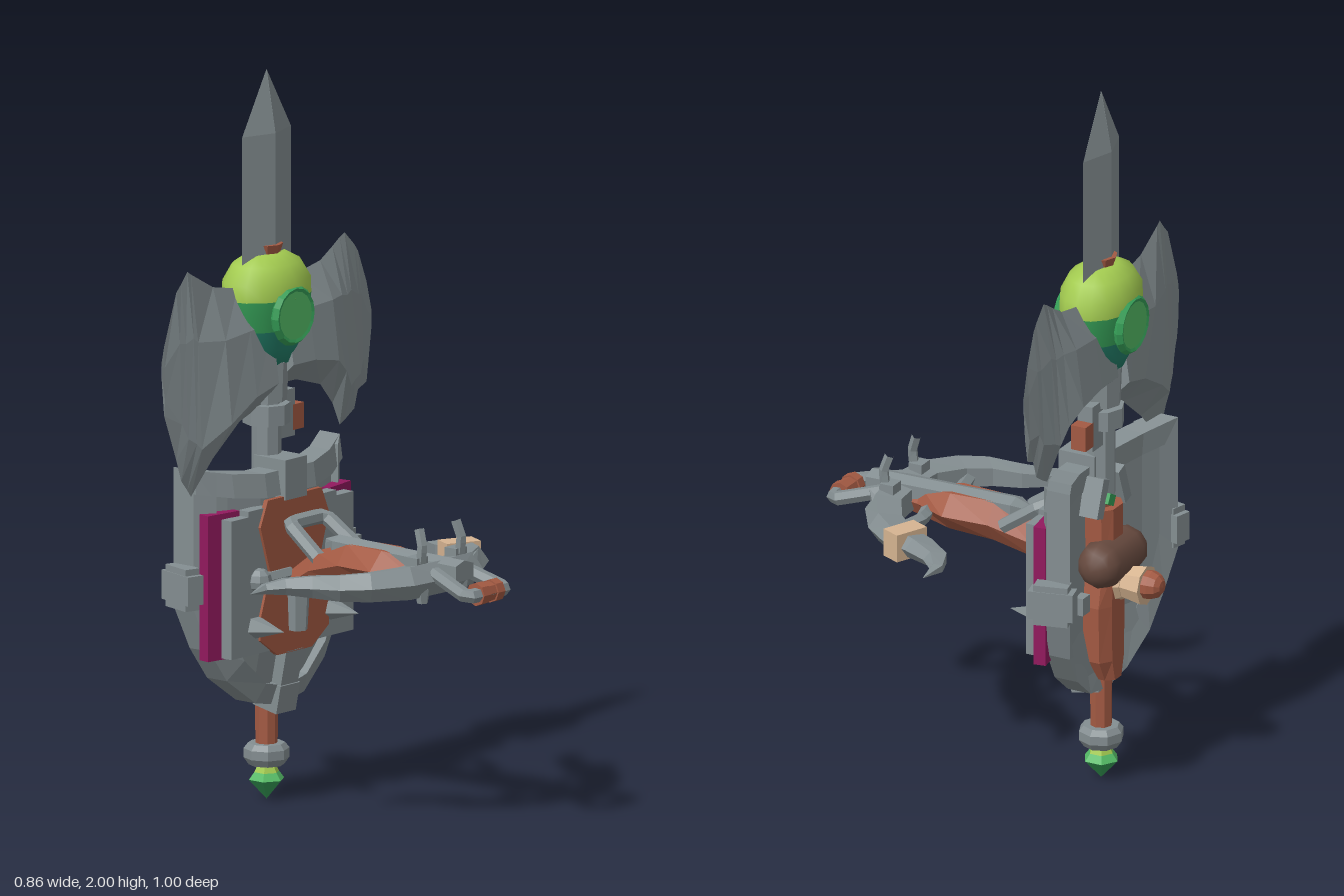
import * as THREE from 'three';

const mat = (name, color) => Object.assign(new THREE.MeshStandardMaterial({ color }), { name });
const M = {
  steel: mat('steel', 0x848e91), wood: mat('wood', 0xa35a43), lime: mat('lime', 0xa3cb50),
  green: mat('green', 0x36a058), teal: mat('teal', 0x23806a), glow: mat('bright green', 0x55bb66),
  cream: mat('cream', 0xd6b491), magenta: mat('magenta', 0x92195e), leather: mat('dark leather', 0x66493e),
};
const Z = -0.31; // depth of the axe shaft

// Faceted copy of a geometry
function flat(g) {
  const f = g.index ? g.toNonIndexed() : g;
  f.computeVertexNormals();
  return f;
}

// Closed solid through rings of equal length, turned outward by its signed volume
function loft(rings) {
  const n = rings[0].length, tris = [];
  for (let i = 0; i + 1 < rings.length; i++) {
    for (let j = 0; j < n; j++) {
      const k = (j + 1) % n, a = rings[i], b = rings[i + 1];
      tris.push([a[j], a[k], b[k]], [a[j], b[k], b[j]]);
    }
  }
  const end = rings[rings.length - 1];
  for (let j = 1; j + 1 < n; j++) {
    tris.push([rings[0][0], rings[0][j + 1], rings[0][j]], [end[0], end[j], end[j + 1]]);
  }
  let volume = 0;
  const v = (p) => new THREE.Vector3(...p);
  for (const [a, b, c] of tris) volume += v(a).dot(v(b).cross(v(c)));
  const pos = tris.flatMap(([a, b, c]) => (volume < 0 ? [a, c, b] : [a, b, c])).flat();
  const g = new THREE.BufferGeometry();
  g.setAttribute('position', new THREE.Float32BufferAttribute(pos, 3));
  return g;
}

export function createModel() {
  const root = new THREE.Group();
  root.name = 'weaponSet';
  let group;
  const section = (name) => { group = new THREE.Group(); group.name = name; root.add(group); };
  const add = (name, geo, m, x = 0, y = 0, z = 0, rx = 0, ry = 0, rz = 0, smooth = false) => {
    const mesh = new THREE.Mesh(smooth ? geo : flat(geo), m);
    mesh.name = name;
    mesh.position.set(x, y, z);
    mesh.rotation.set(rx, ry, rz);
    group.add(mesh);
  };
  const box = (w, h, d) => new THREE.BoxGeometry(w, h, d);
  const cyl = (a, b, h, n = 8) => new THREE.CylinderGeometry(a, b, h, n);
  const tube = (pts, r, n = 6, seg = 20) => new THREE.TubeGeometry(
    new THREE.CatmullRomCurve3(pts.map((p) => new THREE.Vector3(...p)), false, 'catmullrom', 0.15), seg, r, n);
  const plate = (pts, depth) => new THREE.ExtrudeGeometry(
    new THREE.Shape(pts.map((p) => new THREE.Vector2(...p))), { depth, bevelEnabled: false });
  const H = Math.PI / 2;

  // ---- Axe: spear tip, twin blades, orb head, shaft, pommel
  section('axe');
  const diamond = (w, d, y) => [[w, y, Z], [0, y, Z + d], [-w, y, Z], [0, y, Z - d]];
  add('spearBlade', loft([diamond(0.1, 0.032, 1.42), diamond(0.1, 0.032, 1.83), diamond(0.001, 0.001, 2)]), M.steel);

  // blade columns: x, top, bottom
  const blades = {
    leftAxeBlade: [1, [[0.03, 1.42, 1.13], [0.12, 1.42, 1.13], [0.22, 1.44, 1.1], [0.27, 1.47, 1.04], [0.3, 1.49, 0.975],
      [0.32, 1.5, 0.985], [0.36, 1.46, 1.01], [0.375, 1.44, 1.06], [0.41, 1.35, 1.075], [0.43, 1.27, 1.22]]],
    rightAxeBlade: [-1, [[0.03, 1.42, 1.08], [0.12, 1.42, 1.05], [0.22, 1.44, 0.97], [0.31, 1.49, 0.88],
      [0.325, 1.5, 0.9], [0.35, 1.47, 0.93], [0.37, 1.45, 0.99], [0.42, 1.31, 1.12], [0.43, 1.27, 1.22]]],
  };
  for (const [name, [s, columns]] of Object.entries(blades)) {
    add(name, loft(columns.map(([x, t, b]) => {
      const k = Math.min(1, (0.432 - x) / 0.22), hi = t - (t - b) * 0.3, lo = b + (t - b) * 0.22;
      return [[s * x, t, Z], [s * x, hi, Z + 0.047 * k], [s * x, lo, Z + 0.07 * k],
        [s * x, b, Z], [s * x, lo, Z - 0.07 * k], [s * x, hi, Z - 0.047 * k]];
    })), M.steel);
  }

  const orb = (name, pts, m) => {
    const g = new THREE.LatheGeometry(pts.map(([r, y]) => new THREE.Vector2(r, y)), 16);
    add(name, g.scale(1, 1, 0.74), m, 0, 0, Z, 0, 0, 0, true);
  };
  orb('orbBottom', [[0, 1.19], [0.075, 1.2], [0.103, 1.245], [0.122, 1.3]], M.teal);
  orb('orbMiddle', [[0.122, 1.3], [0.135, 1.35], [0.14, 1.385]], M.green);
  orb('orbTop', [[0.14, 1.385], [0.138, 1.43], [0.108, 1.475], [0.06, 1.5], [0, 1.503]], M.lime);
  for (const s of [1, -1]) {
    add('orbRing', new THREE.TorusGeometry(0.07, 0.014, 5, 16), M.green, 0, 1.34, Z + s * 0.093);
    add('orbLens', cyl(0.066, 0.066, 0.02, 16), M.glow, 0, 1.34, Z + s * 0.0935, H);
  }
  add('topPin', cyl(0.045, 0.035, 0.03, 8), M.wood, 0, 1.51, Z);
  add('headSocket', cyl(0.06, 0.055, 0.11), M.steel, 0, 1.15, Z);
  add('upperShaft', cyl(0.04, 0.04, 0.3), M.steel, 0, 0.98, Z);
  add('shaftCollar', cyl(0.064, 0.064, 0.055), M.steel, 0, 1.06, Z);
  add('sidePeg', box(0.045, 0.07, 0.045), M.wood, 0.105, 1.035, Z);
  add('pegArm', box(0.06, 0.13, 0.045), M.steel, 0.06, 1.05, Z);
  add('lowerShaft', cyl(0.035, 0.03, 0.7), M.wood, 0, 0.5, Z);
  add('pommelCap', cyl(0.05, 0.062, 0.015), M.steel, 0, 0.1475, Z);
  add('pommelRing', cyl(0.062, 0.062, 0.025), M.steel, 0, 0.1275, Z);
  add('pommelBase', cyl(0.062, 0.048, 0.02), M.steel, 0, 0.105, Z);
  add('gemTop', cyl(0.025, 0.035, 0.02, 6), M.lime, 0, 0.085, Z);
  add('gemMiddle', cyl(0.035, 0.05, 0.02, 6), M.glow, 0, 0.065, Z);
  add('gemBottom', cyl(0.05, 0, 0.055, 6), M.green, 0, 0.0275, Z);

  // ---- Shield: bowed plate with rim, bands and studs
  section('shield');
  const bow = (x, y = 1) => -0.235 - x * x - 0.2 * Math.max(0, 0.45 - y);
  const outline = [[0, 0.265], [0.1, 0.285], [0.2, 0.36], [0.26, 0.45], [0.3, 0.57]];
  const both = outline.slice(1).reverse().map(([x, y]) => [-x, y]).concat(outline);
  add('shieldPlate', loft(both.map(([x, y]) => {
    const top = 0.89 + 0.6 * x * x, z = bow(x), low = bow(x, y), mid = Math.max(0.45, y + 0.001);
    return [[x, y, low], [x, mid, z], [x, top, z], [x, top, z - 0.05], [x, mid, z - 0.05], [x, y, low - 0.05]];
  })), M.steel);
  // raised rims of square section
  const bar = (ax, ay, bx, by) => {
    const za = bow(ax, ay), zb = bow(bx, by);
    return [[ax, ay, za + 0.015], [bx, by, zb + 0.025], [bx, by, zb - 0.05], [ax, ay, za - 0.055]];
  };
  const rim = [[-0.3, 0.95], ...both, [0.3, 0.95]];
  add('shieldRim', loft(rim.map(([x, y]) => bar(x, y, x * 0.83, y > 0.9 ? 0.935 : y + 0.055))), M.steel);
  add('topRim', loft([-0.3, -0.2, -0.1, 0.1, 0.2, 0.3].map((x) => {
    const t = 0.915 + 0.39 * x * x;
    return bar(x, t, x, t - 0.065);
  })), M.steel);
  add('centreBand', box(0.07, 0.48, 0.05), M.steel, 0, 0.64, -0.24);
  add('lowerBand', box(0.07, 0.16, 0.05), M.steel, 0, 0.35, -0.25, 0.2);
  add('topClasp', box(0.09, 0.11, 0.11), M.steel, 0, 0.895, -0.26);
  add('bottomClasp', box(0.08, 0.08, 0.085), M.steel, 0, 0.295, -0.275, 0.2);
  for (const s of [1, -1]) {
    add('sideBoss', box(0.05, 0.08, 0.125), M.steel, s * 0.316, 0.63, -0.335, 0, s * 0.25);
    add('bossBand', box(0.045, 0.115, 0.095), M.steel, s * 0.316, 0.63, -0.335, 0, s * 0.25);
    add('stud', new THREE.SphereGeometry(0.035, 8, 6), M.steel, s * 0.14, 0.635, -0.215);
    add('studArm', cyl(0.022, 0.022, 0.12, 6), M.steel, s * 0.08, 0.635, -0.215, 0, 0, H);
    add('spike', new THREE.ConeGeometry(0.034, 0.11, 5), M.steel, s * 0.153, 0.51, -0.17, H);
    // magenta side plates
    add('sidePlate', box(0.11, 0.4, 0.035), M.magenta, s * 0.236, 0.63, -0.273, 0, s * 0.15);
  }
  add('frontPanel', plate([[-0.25, 0.435], [0.25, 0.435], [0.25, 0.815], [0.18, 0.815], [0.18, 0.83],
    [-0.18, 0.83], [-0.18, 0.815], [-0.25, 0.815]], 0.035), M.steel, 0, 0, -0.253);
  add('woodMount', plate([[-0.07, 0.42], [0.07, 0.42], [0.14, 0.47], [0.14, 0.53], [0.1, 0.65], [0.14, 0.78],
    [0.11, 0.85], [-0.11, 0.85], [-0.14, 0.78], [-0.1, 0.65], [-0.14, 0.53], [-0.14, 0.47]], 0.014), M.wood, 0, 0, -0.224);

  // ---- Grip and straps on the back of the shield
  section('backGrip');
  const gripRing = (y, w) => [[w, y, -0.28], [w, y, -0.34], [w * 0.5, y, -0.362],
    [-w * 0.5, y, -0.362], [-w, y, -0.34], [-w, y, -0.28]];
  add('gripBoard', loft([[0.3, 0.035], [0.36, 0.065], [0.52, 0.07], [0.62, 0.05], [0.8, 0.055]].map((p) => gripRing(...p))), M.wood);
  add('leatherRoll', new THREE.CapsuleGeometry(0.066, 0.12, 4, 10), M.leather, 0, 0.65, -0.345, 0, 0, H, true);
  add('creamCuff', cyl(0.056, 0.046, 0.06), M.cream, 0, 0.587, -0.42, -H);
  add('cuffEdge', cyl(0.048, 0.056, 0.015), M.cream, 0, 0.587, -0.382, -H);
  const dome = [[0.04, 0], [0.04, 0.022], [0.032, 0.042], [0.018, 0.053], [0, 0.056]];
  add('knob', new THREE.LatheGeometry(dome.map((p) => new THREE.Vector2(...p)), 10), M.wood, 0, 0.592, -0.444, -H);
  for (const s of [1, -1]) {
    add('backClip', box(0.035, 0.11, 0.06), M.steel, s * 0.06, 0.84, -0.32, 0, 0, s * 0.35);
    add('strapBuckle', box(0.04, 0.05, 0.04), M.steel, s * 0.1, 0.54, -0.3);
  }
  add('backBadge', box(0.035, 0.03, 0.02), M.green, 0.03, 0.83, -0.35, 0, 0, 0.5);

  // ---- Crossbow pointing forward
  section('crossbow');
  add('stock', loft([[-0.2, 0.045, 0.57, 0.65], [-0.12, 0.05, 0.61, 0.71], [0, 0.07, 0.64, 0.75],
    [0.13, 0.088, 0.65, 0.75], [0.23, 0.042, 0.66, 0.74], [0.3, 0.03, 0.67, 0.73]].map(([z, w, b, t]) => {
    const m = (b + t) / 2;
    return [[w * 0.5, b, z], [w, m, z], [w * 0.45, t, z], [-w * 0.45, t, z], [-w, m, z], [-w * 0.5, b, z]];
  })), M.wood);
  add('rail', loft([[-0.1, 0.003, 0.745], [-0.05, 0.034, 0.762], [0.39, 0.036, 0.755]].map(([z, w, t]) =>
    [[w, 0.7, z], [w, t - 0.012, z], [0, t, z], [-w, t - 0.012, z], [-w, 0.7, z]])), M.steel);
  add('railFoot', cyl(0.034, 0.028, 0.1, 6), M.steel, 0, 0.53, -0.2);

  const limb = [[0, 0.36, 0, 0.25, 0.045], [0.14, 0.335, 0.1, 0.245, 0.045], [0.24, 0.27, 0.18, 0.2, 0.04],
    [0.29, 0.2, 0.225, 0.145, 0.036], [0.31, 0.12, 0.25, 0.07, 0.03], [0.335, 0.05, 0.295, 0, 0.022],
    [0.37, 0.012, 0.355, -0.02, 0.014], [0.425, 0.001, 0.425, -0.001, 0.001]];
  for (const s of [1, -1]) {
    add(s > 0 ? 'leftLimb' : 'rightLimb', loft(limb.map(([ox, oz, ix, iz, h], i) => {
      const y = 0.705 - 0.004 * i, mx = ix * 0.3 + ox * 0.7, mz = iz * 0.3 + oz * 0.7;
      return [[s * ox, y, oz], [s * mx, y + h, mz], [s * ix, y + h * 0.7, iz],
        [s * ix, y - h * 0.7, iz], [s * mx, y - h, mz]];
    })), M.steel);
    add('brace', tube([[s * 0.19, 0.69, 0.2], [s * 0.1, 0.69, 0.18], [s * 0.03, 0.69, 0.2]], 0.02, 5, 6), M.steel);
    add('limbBolt', box(0.046, 0.03, 0.04), M.steel, s * 0.08, 0.75, 0.29);
    add('limbHorn', tube([[s * 0.08, 0.75, 0.305], [s * 0.08, 0.795, 0.31], [s * 0.075, 0.84, 0.295]], 0.014, 5, 6), M.steel);
    add('limbKnob', cyl(0.022, 0.015, 0.04, 6), M.steel, s * 0.08, 0.66, 0.31);
  }
  add('limbCuff', box(0.1, 0.078, 0.06), M.cream, 0.262, 0.692, 0.145, 0, -0.42, 0);
  add('limbThorn', new THREE.ConeGeometry(0.02, 0.05, 4), M.steel, 0.13, 0.735, 0.315, 0.5);

  // loops at the front and back of the crossbow
  add('frontStirrup', tube([[-0.055, 0.72, 0.33], [-0.076, 0.68, 0.46], [-0.06, 0.68, 0.473], [0.06, 0.68, 0.473],
    [0.076, 0.68, 0.46], [0.055, 0.72, 0.33]], 0.02), M.steel);
  for (const x of [-0.029, 0, 0.029]) {
    add('stirrupWrap', cyl(x ? 0.032 : 0.028, x ? 0.032 : 0.028, 0.028), M.wood, x, 0.68, 0.466, 0, 0, H);
  }
  add('rearLoop', tube([[-0.083, 0.71, -0.055], [-0.073, 0.78, -0.157], [-0.055, 0.785, -0.173], [0.055, 0.785, -0.173],
    [0.073, 0.78, -0.157], [0.083, 0.71, -0.055]], 0.021), M.steel);

  return root;
}
